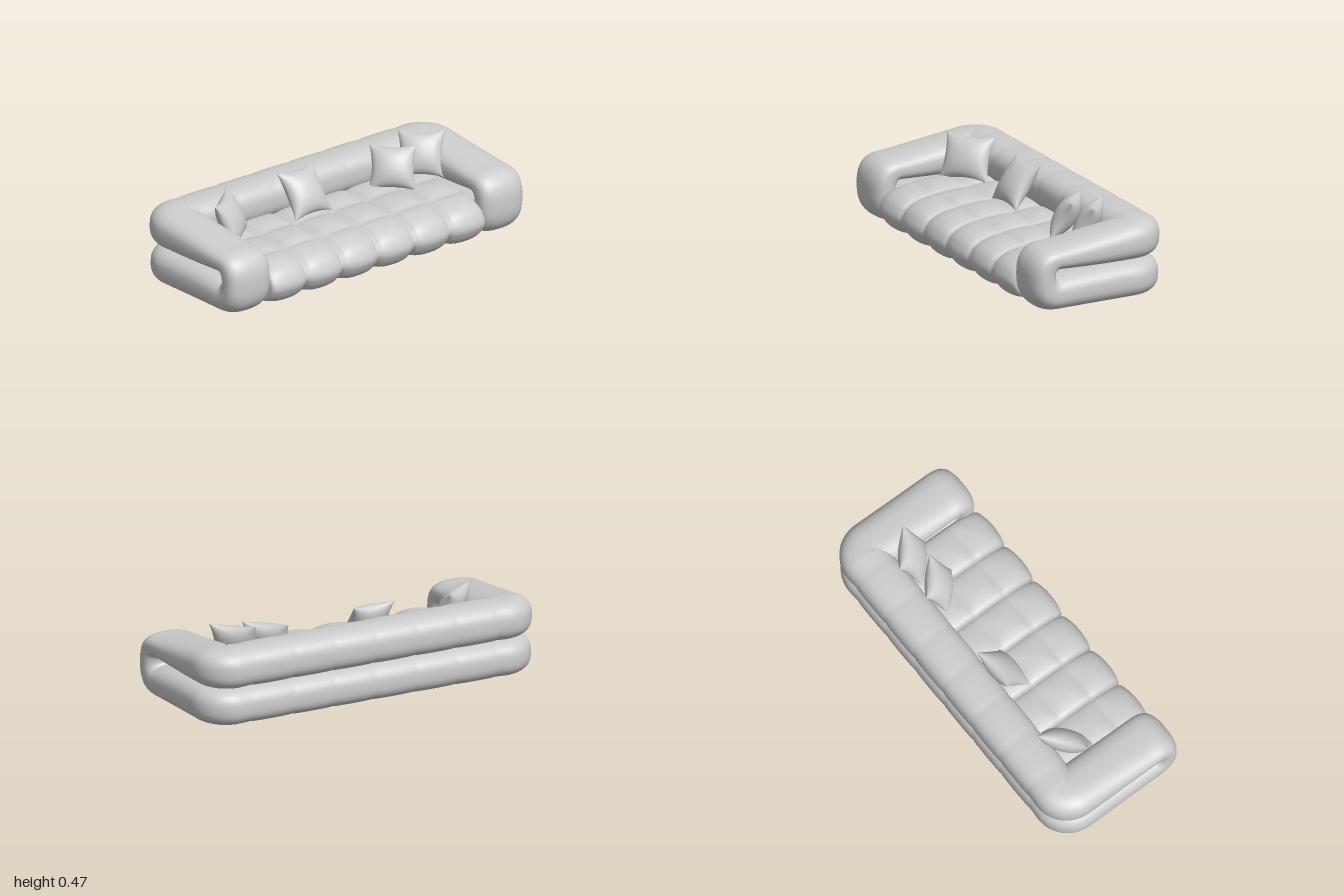
import * as THREE from 'three';

const CELL = 0.2433; // width of one upholstery cell
const V = (x, y, z) => new THREE.Vector3(x, y, z);
// 0 on a seam, 1 in the middle of a cell
const puff = (d, size, p) => Math.pow(Math.abs(Math.sin(Math.PI * d / size)), p);

// Smooth skin over rings of points; rings are closed, the run of rings may be closed too
function skin(rings, closed) {
  const n = rings.length, m = rings[0].length, idx = [], pos = [];
  rings.forEach(r => r.forEach(p => pos.push(p.x, p.y, p.z)));
  let volume = 0;
  const tri = (a, b, c) => {
    idx.push(a, b, c);
    const [A, B, C] = [a, b, c].map(k => rings[Math.floor(k / m)][k % m]);
    volume += A.dot(B.clone().cross(C));
  };
  for (let i = 0; i < (closed ? n : n - 1); i++) {
    for (let j = 0; j < m; j++) {
      const i2 = (i + 1) % n, j2 = (j + 1) % m;
      tri(i * m + j, i2 * m + j, i2 * m + j2);
      tri(i * m + j, i2 * m + j2, i * m + j2);
    }
  }
  if (volume < 0) idx.reverse();
  const g = new THREE.BufferGeometry();
  g.setAttribute('position', new THREE.Float32BufferAttribute(pos, 3));
  g.setIndex(idx);
  g.computeVertexNormals();
  return g;
}

// One continuous bolster: upper back, arm, fold at the front, lower arm, lower back
function bolsterGeometry() {
  const half = [];
  // inner and outer points fix the thickness, w is the sideways direction
  const add = (inner, outer, w, a, squeeze = 1) => {
    const c = inner.clone().add(outer).multiplyScalar(0.5);
    const t = outer.clone().sub(inner).multiplyScalar(0.5 * squeeze);
    half.push({ c, t, w: w.clone().multiplyScalar(a * squeeze) });
  };
  const back = (x, top) => {
    const s = 1 - 0.035 * (1 - puff(x, CELL, 0.35));
    const z = top ? -0.28 : -0.272;
    add(V(x, 0.202, z), V(x, top ? 0.415 : 0, z), V(0, 0, -1), 0.13, s);
  };
  const corner = (phi, top) => {
    const x = 0.8 + 0.06 * Math.sin(phi), k = phi / (Math.PI / 2);
    const z = (top ? -0.22 : -0.212) - 0.06 * Math.cos(phi);
    add(V(x, 0.202, z), V(x, top ? 0.415 - 0.005 * k : 0, z),
      V(Math.sin(phi), 0, -Math.cos(phi)), 0.13 + 0.01 * k);
  };
  const arm = (inner, outer) => add(inner, outer, V(1, 0, 0), 0.14);
  const X = 0.86;

  for (let i = 0; i <= 36; i++) back(i * CELL / 12, true);
  for (let i = 0; i <= 10; i++) corner(i / 10 * Math.PI / 2, true);
  for (let i = 1; i < 12; i++) {
    const k = i / 12, z = -0.22 + 0.46 * k;
    arm(V(X, 0.202 + 0.018 * k * k, z), V(X, 0.41 - 0.062 * k, z));
  }
  for (let i = 0; i <= 28; i++) {
    const a = Math.PI / 2 - i / 28 * Math.PI, c = Math.cos(a), s = Math.sin(a);
    const e = 2 / 2.6, sy = Math.sign(s) * Math.pow(Math.abs(s), e);
    arm(V(X, 0.2 + 0.02 * s, 0.24 + 0.012 * c),
      V(X, 0.174 + 0.174 * sy, 0.24 + 0.165 * Math.pow(Math.max(c, 0), e)));
  }
  for (let i = 1; i < 12; i++) {
    const k = 1 - i / 12, z = -0.212 + 0.452 * k;
    arm(V(X, 0.202 - 0.02 * k * k, z), V(X, 0, z));
  }
  for (let i = 10; i >= 0; i--) corner(i / 10 * Math.PI / 2, false);
  for (let i = 36; i >= 0; i--) back(i * CELL / 12, false);

  // mirrored other half, without repeating the two middle stations
  const flip = v => V(-v.x, v.y, v.z);
  const other = half.slice(1, -1).reverse().map(s => ({ c: flip(s.c), t: s.t, w: flip(s.w) }));
  const rings = [...half, ...other].map(({ c, t, w }) => {
    const ring = [], e = 2 / 2.6;
    for (let j = 0; j < 40; j++) {
      const a = j / 40 * Math.PI * 2, ca = Math.cos(a), sa = Math.sin(a);
      ring.push(c.clone()
        .addScaledVector(w, Math.sign(ca) * Math.pow(Math.abs(ca), e))
        .addScaledVector(t, Math.sign(sa) * Math.pow(Math.abs(sa), e)));
    }
    return ring;
  });
  return skin(rings, true);
}

// Tufted seat: a side section carried across x and drawn in along the seams
function seatGeometry() {
  const section = new THREE.CatmullRomCurve3([
    [-0.27, 0.02], [-0.2, 0], [0, 0], [0.2, 0], [0.31, 0.003], [0.375, 0.03], [0.408, 0.1],
    [0.385, 0.175], [0.34, 0.207], [0.2, 0.24], [0, 0.252], [-0.2, 0.252], [-0.29, 0.2], [-0.3, 0.1],
  ].map(([z, y]) => V(0, y, z)), true).getSpacedPoints(120).slice(0, 120);
  const steps = 96, rings = [];
  for (let i = 0; i <= steps; i++) {
    const x = (i / steps - 0.5) * 6 * CELL;
    const seamX = 1 - puff(x, CELL, 0.5);
    rings.push(section.map(p => {
      const seamZ = 1 - puff(p.z, 0.2, 0.5);
      const off = THREE.MathUtils.clamp((p.y - 0.115) / 0.08, -1, 1);
      const front = THREE.MathUtils.smoothstep(p.z, 0.2, 0.4);
      const depth = Math.hypot(0.028 * seamX, 0.018 * seamZ);
      return V(x, p.y - off * depth, p.z - 0.03 * seamX * front);
    }));
  }
  // close both ends
  const cap = r => r.map(p => V(p.x, 0.115, 0.05));
  return skin([cap(rings[0]), ...rings, cap(rings[steps])], false);
}

// Square cushion with pointed corners and hollow edges
function cushionGeometry(w, h, thick) {
  const N = 20, rings = [];
  const at = (u, v, s) => V(
    u * w / 2 * (1 - 0.13 * (1 - v * v) * u * u),
    v * h / 2 * (1 - 0.13 * (1 - u * u) * v * v),
    s * thick / 2 * Math.pow(Math.max(0, (1 - u * u) * (1 - v * v)), 0.55));
  for (let i = 0; i <= N; i++) {
    const v = -Math.cos(i / N * Math.PI), ring = [];
    for (let j = 0; j < 2 * N; j++) {
      const a = j / N * Math.PI;
      ring.push(at(Math.cos(a), v, j < N ? 1 : -1));
    }
    rings.push(ring);
  }
  return skin(rings, false);
}

export function createModel() {
  const model = new THREE.Group();
  model.name = 'sofa';
  const fabric = new THREE.MeshStandardMaterial({ color: 0xcccccc });
  fabric.name = 'grey fabric';

  const add = (name, geometry) => {
    const mesh = new THREE.Mesh(geometry, fabric);
    mesh.name = name;
    model.add(mesh);
    return mesh;
  };
  add('backAndArms', bolsterGeometry());
  add('tuftedSeat', seatGeometry());

  // loose cushions: centre, turn, lean, width, height
  [
    ['rightCushion', [-0.62, 0.34, -0.08], 0.66, -0.45, 0.28, 0.25],
    ['middleCushion', [-0.11, 0.35, -0.09], 0.02, -0.6, 0.25, 0.27],
    ['innerLeftCushion', [0.47, 0.34, -0.065], -0.73, -0.5, 0.25, 0.24],
    ['outerLeftCushion', [0.675, 0.36, -0.08], -0.73, -0.48, 0.25, 0.25],
  ].forEach(([name, centre, turn, lean, w, h]) => {
    const cushion = add(name, cushionGeometry(w, h, 0.12));
    cushion.position.set(...centre);
    cushion.rotation.set(lean, turn, 0, 'YXZ');
  });
  return model;
}
